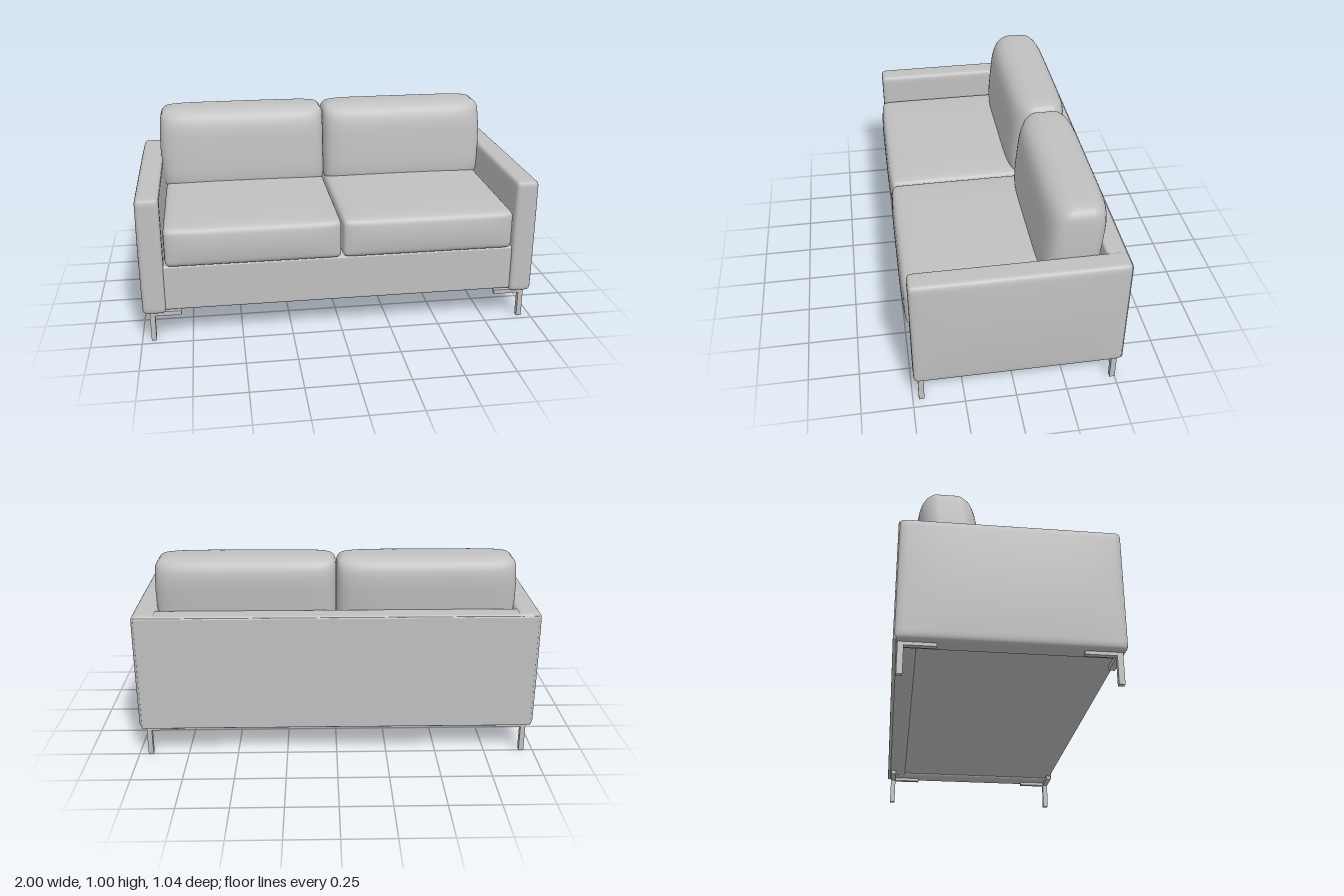
import * as THREE from 'three';
import { mergeVertices } from 'three/addons/utils/BufferGeometryUtils.js';
import { RoundedBoxGeometry } from 'three/addons/geometries/RoundedBoxGeometry.js';

const grey = new THREE.MeshStandardMaterial({ color: 0xc0c0c0 });
grey.name = 'grey';

// Rounded, smooth block; shape(p, a, b, c) then bends it (a, b, c run -1..1 across it)
function softBlock(size, r, shape, n = 24) {
  let g = new THREE.BoxGeometry(2, 2, 2, n, n, n);
  g.deleteAttribute('normal');
  g.deleteAttribute('uv');
  g = mergeVertices(g, 1e-4);
  const half = size.map(s => s / 2);
  const pos = g.attributes.position;
  const p = new THREE.Vector3(), core = new THREE.Vector3();
  const inner = new THREE.Vector3(half[0] - r, half[1] - r, half[2] - r);
  for (let i = 0; i < pos.count; i++) {
    p.fromBufferAttribute(pos, i);
    // crowd the grid lines towards the edges
    p.set(...p.toArray().map((t, k) => half[k] * Math.sin(t * Math.PI / 2)));
    core.copy(p).clamp(inner.clone().negate(), inner);
    p.sub(core).setLength(r).add(core);
    shape(p, p.x / half[0], p.y / half[1], p.z / half[2]);
    pos.setXYZ(i, p.x, p.y, p.z);
  }
  g.computeVertexNormals();
  return g;
}

export function createModel() {
  const sofa = new THREE.Group();
  sofa.name = 'sofa';

  function add(name, geometry, x, y, z, parent = sofa) {
    const mesh = new THREE.Mesh(geometry, grey);
    mesh.name = name;
    mesh.position.set(x, y, z);
    parent.add(mesh);
    return mesh;
  }
  // Block given by its low and high corners, with optional rounded edges
  function block(name, lo, hi, r = 0, parent = sofa) {
    const s = hi.map((h, i) => h - lo[i]);
    const g = r ? new RoundedBoxGeometry(...s, 3, r) : new THREE.BoxGeometry(...s);
    return add(name, g, ...hi.map((h, i) => (h + lo[i]) / 2), parent);
  }

  // Frame: seat base, backrest and outer back panel
  block('seatBase', [-0.89, 0.165, -0.47], [0.89, 0.4, 0.475], 0.012);
  block('backrest', [-0.9, 0.155, -0.515], [0.9, 0.745, -0.42], 0.012);
  block('backPanel', [-0.975, 0.152, -0.521], [0.975, 0.738, -0.505], 0.006);

  for (const side of [-1, 1]) {
    const label = side > 0 ? 'left' : 'right';

    // Arm, swelling slightly outwards in the middle
    const arm = softBlock([0.115, 0.6, 1.008], 0.024, (p, a, b, c) => {
      if (a * side > 0) p.x += side * 0.012 * (1 - b * b) * (1 - c ** 4);
    });
    add(label + 'Arm', arm, side * 0.93, 0.45, -0.014);

    // Seat cushion with crowned top and rounded front
    const seat = softBlock([0.862, 0.2, 0.91], 0.03, (p, a, b, c) => {
      if (b > 0) p.y += 0.014 * b * (1 - a ** 4) * (1 - c ** 4);
      if (c > 0) p.z += 0.014 * c * (1 - b * b) * (1 - a ** 6);
    });
    add(label + 'SeatCushion', seat, side * 0.434, 0.5, 0.045);

    // Plump back cushion, thinner at the ends and top, leaning back
    const pillow = softBlock([0.872, 0.43, 0.29], 0.045, (p, a, b) => {
      const acrossX = 0.55 + 0.45 * Math.sqrt(Math.max(0, 1 - a ** 6));
      const acrossY = b > 0 ? 0.42 + 0.58 * Math.sqrt(Math.max(0, 1 - b ** 4)) : 1 - 0.15 * b ** 4;
      p.z = p.z * acrossX * acrossY - 0.02 * b;
      if (b > 0) p.y -= 0.012 * b * a ** 8;
      p.x += side * 0.012 * Math.max(0, a * side) * (1 - b * b);
    });
    add(label + 'BackCushion', pillow, side * 0.437, 0.785, -0.284);

    // Slim metal legs with a corner bracket
    for (const end of [-1, 1]) {
      const leg = new THREE.Group();
      leg.name = label + (end > 0 ? 'FrontLeg' : 'BackLeg');
      leg.position.set(side * 0.942, 0, end > 0 ? 0.457 : -0.488);
      sofa.add(leg);
      block('legPost', [-0.0125, 0, -0.0135], [0.0125, 0.155, 0.0135], 0, leg);
      const bar = (name, w, d, x, z) => add(name, new THREE.BoxGeometry(w, 0.022, d), x, 0.145, z, leg);
      bar('sideBracket', 0.025, 0.154, 0, -end * 0.077);
      bar('crossBracket', 0.142, 0.027, -side * 0.071, 0);
    }
  }
  return sofa;
}
